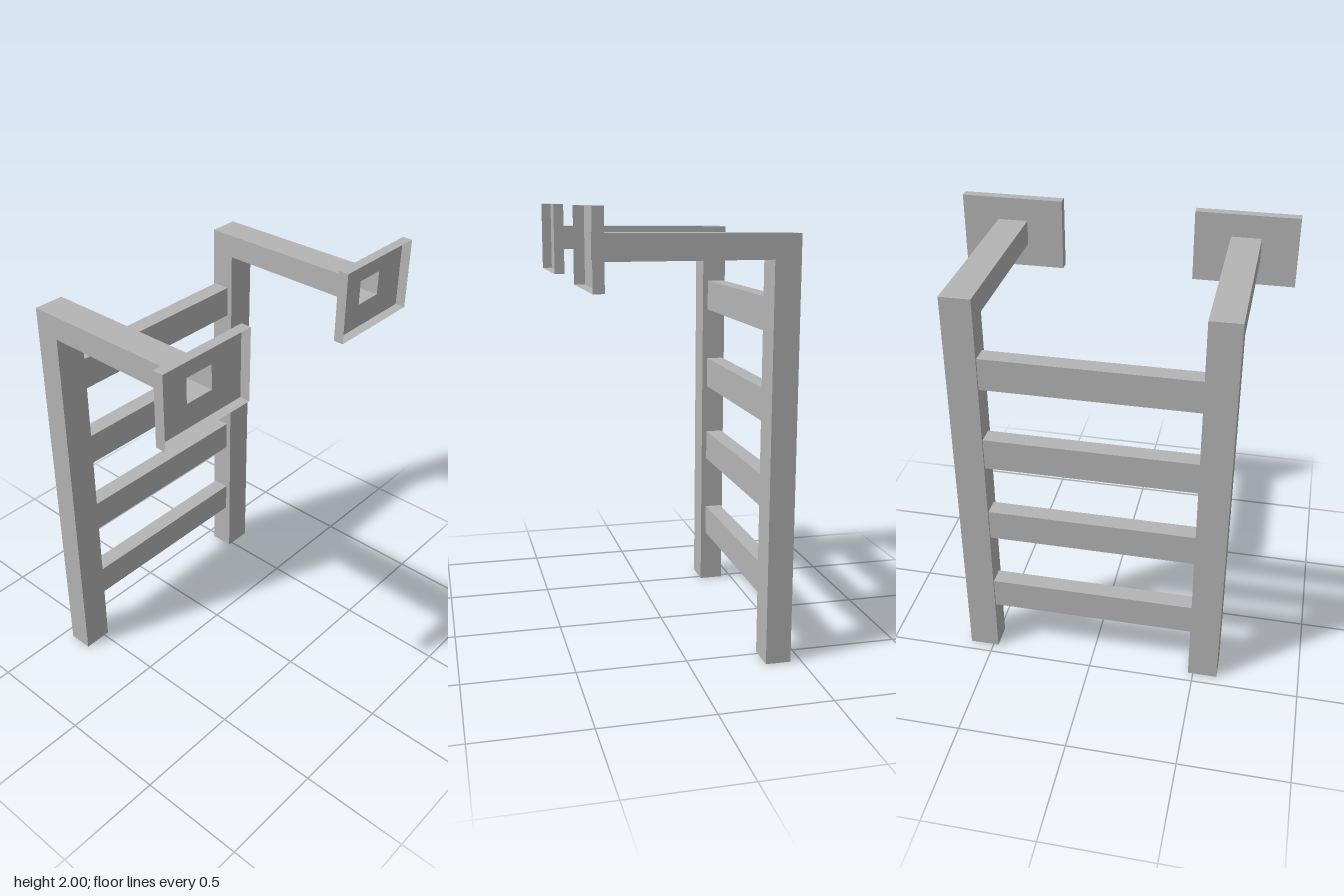
import * as THREE from 'three';

const steel = new THREE.MeshStandardMaterial({ color: 0xb4b4b4, side: THREE.DoubleSide });
steel.name = 'grey steel';

// Open-ended skin joining successive loops of corners, with flat faces
function skin(loops) {
  const p = [];
  for (let i = 0; i + 1 < loops.length; i++) {
    const a = loops[i], b = loops[i + 1], n = a.length;
    for (let j = 0; j < n; j++) {
      const k = (j + 1) % n;
      p.push(...a[j], ...a[k], ...b[k], ...a[j], ...b[k], ...b[j]);
    }
  }
  const g = new THREE.BufferGeometry();
  g.setAttribute('position', new THREE.Float32BufferAttribute(p, 3));
  g.computeVertexNormals();
  return g;
}

// Counter-clockwise rectangle in the xy plane at depth z
const rectXY = (x0, x1, y0, y1, z) => [[x0, y0, z], [x1, y0, z], [x1, y1, z], [x0, y1, z]];

function part(name, geometry) {
  const m = new THREE.Mesh(geometry, steel);
  m.name = name;
  return m;
}

export function createModel() {
  const model = new THREE.Group();
  model.name = 'wallLadder';

  for (const [name, cx] of [['left', 0.545], ['right', -0.545]]) {
    const x0 = cx - 0.069, x1 = cx + 0.069;

    // Hollow square rail: arm, mitred corner, upright open at the foot
    const rail = skin([
      [[x0, 0, -0.45], [x1, 0, -0.45], [x1, 0, -0.335], [x0, 0, -0.335]],
      [[x0, 1.888, -0.45], [x1, 1.888, -0.45], [x1, 1.782, -0.335], [x0, 1.782, -0.335]],
      [[x0, 1.894, 0.403], [x1, 1.894, 0.403], [x1, 1.782, 0.403], [x0, 1.782, 0.403]],
    ].map(loop => loop.reverse()));
    model.add(part(name + 'Rail', rail));

    // Wall bracket: shallow tray, open to the front, with the arm's hole
    const px0 = cx - 0.2365, px1 = cx + 0.2365, py0 = 1.672, py1 = 2;
    const bracket = new THREE.Group();
    bracket.name = name + 'Bracket';
    const face = new THREE.Shape([[px0, py0], [px1, py0], [px1, py1], [px0, py1]]
      .map(([x, y]) => new THREE.Vector2(x, y)));
    face.holes.push(new THREE.Path([[x0, 1.782], [x0, 1.894], [x1, 1.894], [x1, 1.782]]
      .map(([x, y]) => new THREE.Vector2(x, y))));
    const plate = part('bracketPlate', new THREE.ShapeGeometry(face));
    plate.position.z = 0.403;
    const rim = part('bracketRim', skin([
      rectXY(px0, px1, py0, py1, 0.403),
      rectXY(px0, px1, py0, py1, 0.45),
    ]));
    bracket.add(plate, rim);
    model.add(bracket);
  }

  // Rungs between the rails
  [0.334, 0.747, 1.138, 1.54].forEach((y, i) => {
    const rung = part('rung' + (i + 1), new THREE.BoxGeometry(0.952, 0.148, 0.08));
    rung.position.set(0, y, -0.4);
    model.add(rung);
  });

  return model;
}
